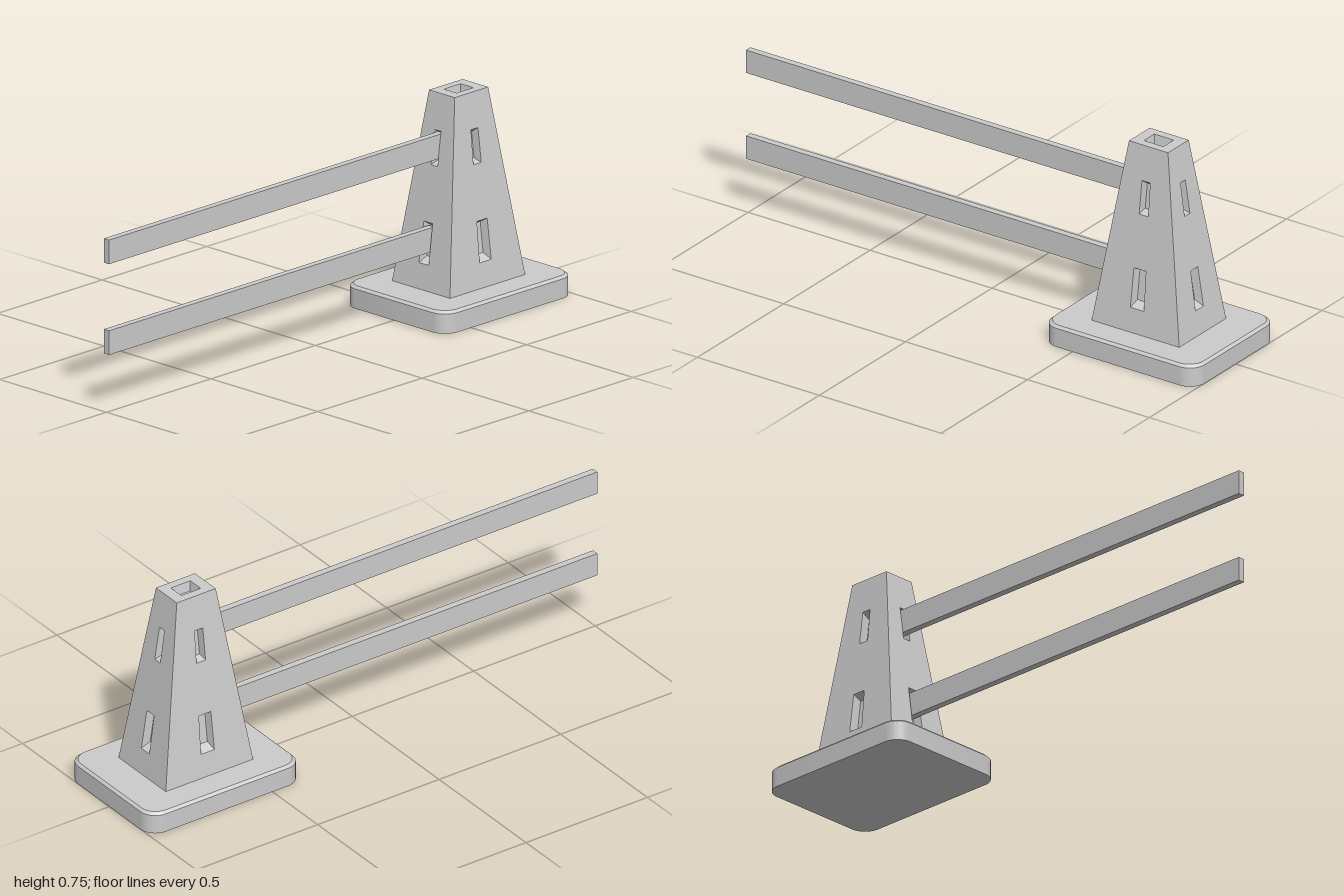
import * as THREE from 'three';
import { toCreasedNormals } from 'three/addons/utils/BufferGeometryUtils.js';

const CX = 0.685; // centre of post and base along x
const Y0 = 0.076, Y1 = 0.745; // foot and top of post
const material = new THREE.MeshStandardMaterial({ color: 0xcccccc });

function mesh(name, geometry) {
  const m = new THREE.Mesh(geometry, material);
  m.name = name;
  return m;
}

// Half width of the tapering post at height y
const taper = (bottom, top) => (y) => bottom + (top - bottom) * (y - Y0) / (Y1 - Y0);
const halfX = taper(0.18, 0.08), halfZ = taper(0.136, 0.06);

// Four corners, counter-clockwise, of a trapezoid centred on u = 0
const trapezoid = (bottomHalf, topHalf, v0, v1) =>
  [[-bottomHalf, v0], [bottomHalf, v0], [topHalf, v1], [-topHalf, v1]];

// A flat panel with tapered blind pockets; map turns (u, v, depth) into a point
function panel(name, outline, pockets, map) {
  const points = (list) => list.map(([u, v]) => new THREE.Vector2(u, v));
  const shape = new THREE.Shape(points(outline));
  for (const p of pockets) shape.holes.push(new THREE.Path(points(p.outer).reverse()));
  const face = new THREE.ShapeGeometry(shape).toNonIndexed().attributes.position;
  const out = [];
  for (let i = 0; i < face.count; i++) out.push(...map(face.getX(i), face.getY(i), 0));

  for (const { outer, inner, depth } of pockets) {
    const a = outer.map(([u, v]) => map(u, v, 0));
    const b = inner.map(([u, v]) => map(u, v, depth));
    const quad = (p, q, r, s) => out.push(...p, ...q, ...r, ...p, ...r, ...s);
    for (let i = 0; i < 4; i++) {
      const j = (i + 1) % 4;
      quad(a[i], a[j], b[j], b[i]);
    }
    quad(...b);
  }
  const geometry = new THREE.BufferGeometry();
  geometry.setAttribute('position', new THREE.Float32BufferAttribute(out, 3));
  geometry.computeVertexNormals();
  return mesh(name, geometry);
}

// Upper and lower rail slots for one wall
function slots(s) {
  return [
    { outer: trapezoid(0.0155 * s, 0.0140 * s, 0.50, 0.62),
      inner: trapezoid(0.0130 * s, 0.0120 * s, 0.51, 0.60), depth: 0.03 },
    { outer: trapezoid(0.0230 * s, 0.0205 * s, 0.165, 0.307),
      inner: trapezoid(0.0180 * s, 0.0165 * s, 0.183, 0.29), depth: 0.03 },
  ];
}

function createPost() {
  const post = new THREE.Group();
  post.name = 'post';
  const names = ['frontWall', 'leftWall', 'backWall', 'rightWall'];
  names.forEach((name, i) => {
    const c = Math.round(Math.cos(i * Math.PI / 2)), s = Math.round(Math.sin(i * Math.PI / 2));
    const [reach, width] = i % 2 ? [halfX, halfZ] : [halfZ, halfX];
    post.add(panel(name, trapezoid(width(Y0), width(Y1), Y0, Y1), slots(i % 2 ? 1 : 1.2),
      (u, y, d) => {
        const r = reach(y) - d;
        return [CX + s * r + c * u, y, c * r - s * u];
      }));
  });
  // Top with a rectangular socket
  const socket = {
    outer: trapezoid(0.04, 0.04, -0.03, 0.03),
    inner: trapezoid(0.034, 0.034, -0.024, 0.024), depth: 0.035,
  };
  post.add(panel('postTop', trapezoid(0.08, 0.08, -0.06, 0.06), [socket],
    (u, v, d) => [CX + u, Y1 - d, -v]));
  return post;
}

// Rounded slab with a chamfer along its upper edge
function createBase() {
  const hx = 0.3125, hz = 0.24, r = 0.06, height = 0.078, chamfer = 0.009;
  const shape = new THREE.Shape();
  shape.absarc(hx - r, hz - r, r, 0, Math.PI / 2);
  shape.absarc(r - hx, hz - r, r, Math.PI / 2, Math.PI);
  shape.absarc(r - hx, r - hz, r, Math.PI, Math.PI * 1.5);
  shape.absarc(hx - r, r - hz, r, Math.PI * 1.5, Math.PI * 2);
  const geometry = new THREE.ExtrudeGeometry(shape,
    { depth: height, steps: 2, bevelEnabled: false, curveSegments: 10 });
  const p = geometry.attributes.position;
  for (let i = 0; i < p.count; i++) {
    const z = p.getZ(i);
    if (z > height * 0.9) {
      p.setX(i, p.getX(i) * (1 - chamfer / hx));
      p.setY(i, p.getY(i) * (1 - chamfer / hz));
    } else if (z > height * 0.1) p.setZ(i, height - chamfer);
  }
  geometry.rotateX(-Math.PI / 2);
  geometry.translate(1 - hx, 0, 0);
  return mesh('base', toCreasedNormals(geometry, 0.5));
}

// Flat rail running from the far end into its slot
function createRail(name, y0, y1, end) {
  const geometry = new THREE.BoxGeometry(end + 1, y1 - y0, 0.025);
  geometry.translate((end - 1) / 2, (y0 + y1) / 2, 0);
  return mesh(name, geometry);
}

export function createModel() {
  const group = new THREE.Group();
  group.name = 'fencePost';
  group.add(createBase(), createPost());
  group.add(createRail('upperRail', 0.525, 0.61, 0.6));
  group.add(createRail('lowerRail', 0.205, 0.29, 0.555));
  return group;
}
